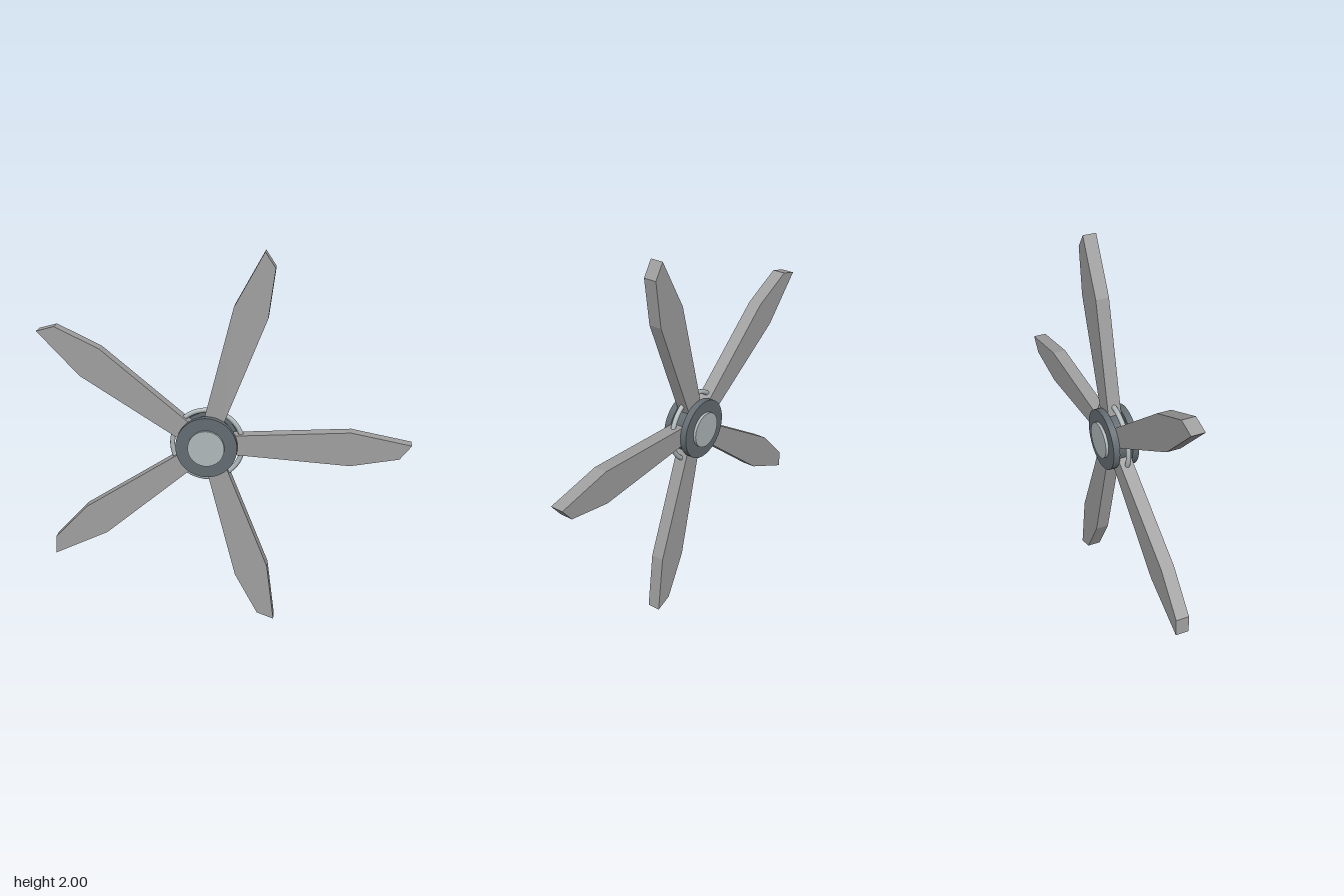
import * as THREE from 'three';

const material = (color) => new THREE.MeshStandardMaterial({ color });

export function createModel() {
  const model = new THREE.Group();
  const rotor = new THREE.Group();
  rotor.name = 'rotor';
  rotor.position.set(-0.09, 0.99, 0);
  model.add(rotor);

  const blade = material(0xa0a0a0);
  const darkMetal = material(0x646d72);
  const lightMetal = material(0xb0b8bb);

  const add = (name, geometry, mat) => {
    const mesh = new THREE.Mesh(geometry, mat);
    mesh.name = name;
    rotor.add(mesh);
    return mesh;
  };

  // Hub: spool turned around the z axis, with a groove holding the blade roots
  const spool = [[0, -0.07], [0.16, -0.07], [0.16, -0.035], [0.14, -0.035],
    [0.14, 0.035], [0.16, 0.035], [0.16, 0.07], [0, 0.07]];
  // Doubled corner points keep the turned edges sharp
  const profile = spool.flatMap(([r, y]) => [new THREE.Vector2(r, y), new THREE.Vector2(r, y)]);
  add('hub', new THREE.LatheGeometry(profile, 48).rotateX(Math.PI / 2), darkMetal);

  // Axle caps, standing proud of both hub faces
  add('axleCaps', new THREE.CylinderGeometry(0.095, 0.095, 0.17, 40).rotateX(Math.PI / 2), lightMetal);

  // Thin ring running through the blade roots
  add('bladeRing', new THREE.TorusGeometry(0.184, 0.013, 12, 64), lightMetal);

  // Five identical flat blades with slanted tips
  const outline = [[0.13, -0.044], [0.74, -0.085], [0.99, -0.04],
    [1.05, 0.035], [0.74, 0.095], [0.13, 0.058]];
  const shape = new THREE.Shape(outline.map(([x, y]) => new THREE.Vector2(x, y)));
  const bladeGeometry = new THREE.ExtrudeGeometry(shape, { depth: 0.07, bevelEnabled: false });
  bladeGeometry.translate(0, 0, -0.035);
  for (let i = 0; i < 5; i++) {
    add(`blade${i + 1}`, bladeGeometry, blade).rotation.z = (i * Math.PI * 2) / 5;
  }

  return model;
}
